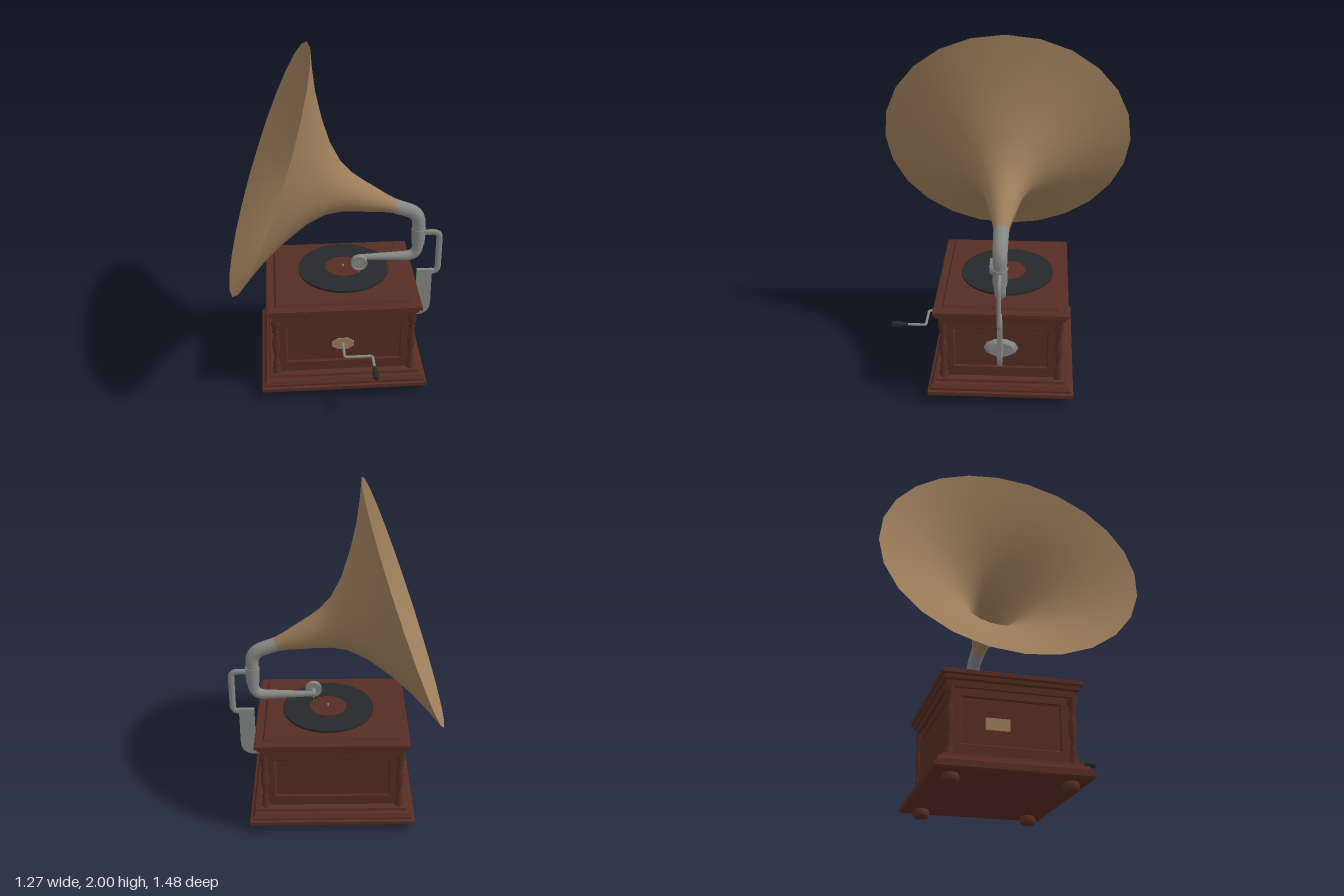
import * as THREE from 'three';

const paint = (name, color, side = THREE.FrontSide) => {
  const m = new THREE.MeshStandardMaterial({ color, side });
  m.name = name;
  return m;
};
const V = (x, y, z = 0) => new THREE.Vector3(x, y, z);

// Stepped rectangular moulding: profile of [outset, y] around half sizes hx, hz
function rectLoft(hx, hz, profile, bottomCap = false) {
  const pos = [];
  const ring = ([o, y]) => [[1, 1], [1, -1], [-1, -1], [-1, 1]].map(([sx, sz]) => [sx * (hx + o), y, sz * (hz + o)]);
  const quad = (a, b, c, d) => pos.push(...a, ...b, ...c, ...a, ...c, ...d);
  const rings = profile.map(ring);
  for (let i = 0; i < rings.length - 1; i++) {
    for (let k = 0; k < 4; k++) {
      const n = (k + 1) % 4;
      quad(rings[i][k], rings[i][n], rings[i + 1][n], rings[i + 1][k]);
    }
  }
  quad(...rings[rings.length - 1]);
  if (bottomCap) quad(...[...rings[0]].reverse());
  const g = new THREE.BufferGeometry();
  g.setAttribute('position', new THREE.Float32BufferAttribute(pos, 3));
  g.computeVertexNormals();
  return g;
}

// Straight runs joined by rounded corners
function bentPath(points, radius) {
  const path = new THREE.CurvePath();
  let start = points[0];
  for (let i = 1; i < points.length - 1; i++) {
    const p = points[i];
    const a = p.clone().add(points[i - 1].clone().sub(p).setLength(radius));
    const b = p.clone().add(points[i + 1].clone().sub(p).setLength(radius));
    path.add(new THREE.LineCurve3(start, a));
    path.add(new THREE.QuadraticBezierCurve3(a, p, b));
    start = b;
  }
  path.add(new THREE.LineCurve3(start, points[points.length - 1]));
  return path;
}

// Tube whose radius follows evenly spaced values along the path
function taperedTube(path, radii, steps = 48, sides = 14) {
  const g = new THREE.TubeGeometry(path, steps, 1, sides);
  const p = g.attributes.position;
  const v = V(0, 0);
  for (let i = 0; i <= steps; i++) {
    const c = path.getPointAt(i / steps);
    const f = (i / steps) * (radii.length - 1);
    const k = Math.min(Math.floor(f), radii.length - 2);
    const r = THREE.MathUtils.lerp(radii[k], radii[k + 1], f - k);
    for (let j = 0; j <= sides; j++) {
      const n = i * (sides + 1) + j;
      v.fromBufferAttribute(p, n).sub(c).multiplyScalar(r).add(c);
      p.setXYZ(n, v.x, v.y, v.z);
    }
  }
  return g;
}

const lathe = (pts, sides) => new THREE.LatheGeometry(pts.map(([r, y]) => new THREE.Vector2(r, y)), sides);

export function createModel() {
  const model = new THREE.Group();
  model.name = 'gramophone';
  const wood = paint('dark wood', 0x562d23);
  const brass = paint('brass', 0x9c7d5a);
  const hornBrass = brass;
  hornBrass.side = THREE.DoubleSide;
  const steel = paint('grey metal', 0x868886, THREE.DoubleSide);
  const black = paint('black', 0x26282a);

  const add = (name, geometry, material, x = 0, y = 0, z = 0, parent = model) => {
    const mesh = new THREE.Mesh(geometry, material);
    mesh.name = name;
    mesh.position.set(x, y, z);
    parent.add(mesh);
    return mesh;
  };

  // Cabinet: plinth, core, cornice and raised lid panel
  const HX = 0.395, HZ = 0.33;
  const cabinet = new THREE.Group();
  cabinet.name = 'cabinet';
  cabinet.position.x = 0.021;
  model.add(cabinet);
  add('cabinetBody', rectLoft(HX, HZ, [
    [0.08, 0.048], [0.09, 0.058], [0.09, 0.078], [0.076, 0.083], [0.076, 0.095], [0.06, 0.118],
    [0.044, 0.122], [0.04, 0.138], [-0.015, 0.14], [-0.015, 0.5], [0.018, 0.5], [0.02, 0.533],
    [0.034, 0.54], [0.036, 0.56], [0.05, 0.565], [0.05, 0.585], [0.042, 0.59], [0.002, 0.59], [-0.007, 0.604],
  ], true), wood, 0, 0, 0, cabinet);

  // Four walls with sunken panels
  ['front', 'left', 'back', 'right'].forEach((side, i) => {
    const [half, out] = i % 2 ? [HZ, HX] : [HX, HZ];
    const g = rectLoft(half, 0.19, [[0, 0], [-0.06, 0], [-0.068, -0.01]]);
    g.rotateX(Math.PI / 2).translate(0, 0.33, out).rotateY(i * Math.PI / 2);
    add(side + 'Wall', g, wood, 0, 0, 0, cabinet);
  });

  // Turned corner columns and bun feet
  const column = lathe([
    [0.026, 0.135], [0.026, 0.165], [0.015, 0.175], [0.023, 0.2], [0.015, 0.225], [0.012, 0.25], [0.02, 0.29],
    [0.024, 0.34], [0.018, 0.39], [0.012, 0.41], [0.023, 0.425], [0.013, 0.44], [0.026, 0.465], [0.026, 0.505],
  ], 12);
  const foot = lathe([[0, 0], [0.038, 0], [0.046, 0.014], [0.046, 0.034], [0.036, 0.052]], 16);
  for (const sx of [-1, 1]) {
    for (const sz of [-1, 1]) {
      add('cornerColumn', column, wood, sx * HX, 0, sz * HZ, cabinet);
      add('foot', foot, wood, sx * 0.375 - 0.006, 0, sz * 0.315, cabinet);
    }
  }

  // Turntable, record, label and spindle
  const disc = (name, r, y0, y1, mat, sides = 32) =>
    add(name, new THREE.CylinderGeometry(r, r, y1 - y0, sides), mat, 0.042, (y0 + y1) / 2, -0.02);
  disc('turntable', 0.23, 0.6, 0.618, black);
  disc('record', 0.27, 0.618, 0.632, black);
  disc('recordLabel', 0.11, 0.632, 0.635, wood);
  disc('spindle', 0.006, 0.635, 0.648, steel, 8);

  // Flared horn, opening towards the right
  const horn = add('horn', lathe([
    [0.041, -0.785], [0.052, -0.72], [0.078, -0.62], [0.096, -0.545], [0.119, -0.471], [0.161, -0.388],
    [0.25, -0.291], [0.387, -0.188], [0.518, -0.106], [0.64, -0.045], [0.741, 0],
  ], 24), hornBrass, -0.39, 1.305, 0);
  horn.rotation.z = 1.226;

  // Elbow and tapering tone arm
  const armPath = bentPath([V(0.325, 1.048), V(0.487, 0.99), V(0.484, 0.705), V(0.12, 0.707)], 0.07);
  add('toneArm', taperedTube(armPath, [0.044, 0.042, 0.04, 0.037, 0.033, 0.029, 0.024, 0.02, 0.015], 64), steel);
  add('armCollar', new THREE.CylinderGeometry(0.042, 0.039, 0.1, 16), steel, 0.487, 0.84, 0);

  // Sound box with needle
  const facing = (r, depth, sides) => new THREE.CylinderGeometry(r, r, depth, sides).rotateX(Math.PI / 2);
  add('soundBoxStem', facing(0.015, 0.06, 12), steel, 0.13, 0.705, 0.02);
  add('soundBox', facing(0.049, 0.024, 20), steel, 0.13, 0.705, 0.058);
  add('soundBoxRim', new THREE.TorusGeometry(0.042, 0.007, 8, 20), steel, 0.13, 0.705, 0.07);
  add('soundBoxBoss', facing(0.009, 0.012, 10), steel, 0.13, 0.705, 0.075);
  add('needle', new THREE.CylinderGeometry(0.005, 0.002, 0.04, 8), steel, 0.13, 0.654, 0.06);

  // Support bracket: flat curved bar, bent rod and mounting flange
  const bar = new THREE.Shape();
  bar.moveTo(0.415, 0.285);
  bar.lineTo(0.49, 0.285);
  bar.quadraticCurveTo(0.578, 0.285, 0.578, 0.38);
  bar.lineTo(0.578, 0.605);
  bar.lineTo(0.487, 0.605);
  bar.lineTo(0.487, 0.41);
  bar.quadraticCurveTo(0.487, 0.37, 0.455, 0.37);
  bar.lineTo(0.415, 0.37);
  add('bracketBar', new THREE.ExtrudeGeometry(bar, { depth: 0.024, bevelEnabled: false }), steel, 0, 0, -0.012);
  const rod = bentPath([V(0.49, 0.86), V(0.614, 0.86), V(0.614, 0.588), V(0.53, 0.588)], 0.04);
  add('bracketRod', taperedTube(rod, [0.019, 0.019], 48, 12).scale(1, 1, 0.65), steel);
  const flange = new THREE.CylinderGeometry(0.75, 1, 0.025, 10).rotateZ(-Math.PI / 2).scale(1, 0.062, 0.1);
  add('bracketFlange', flange, steel, 0.42, 0.33, 0);

  // Brass plates on the front and the right side
  add('crankPlate', facing(1, 0.009, 8).rotateZ(Math.PI / 8).scale(0.07, 0.04, 1), brass, 0.015, 0.317, 0.324);
  add('sidePlate', new THREE.BoxGeometry(0.009, 0.065, 0.13), brass, -0.368, 0.32, -0.073);

  // Crank and handle
  const crank = bentPath([V(0.015, 0.32, 0.32), V(0.015, 0.32, 0.46), V(0.175, 0.32, 0.46), V(0.175, 0.32, 0.59)], 0.015);
  add('crank', taperedTube(crank, [0.008, 0.008], 60, 10), steel);
  const grip = lathe([[0, 0], [0.011, 0], [0.013, 0.02], [0.018, 0.055], [0.017, 0.085], [0.012, 0.098], [0, 0.098]], 14);
  add('crankHandle', grip.rotateX(Math.PI / 2), black, 0.175, 0.32, 0.568);

  return model;
}
